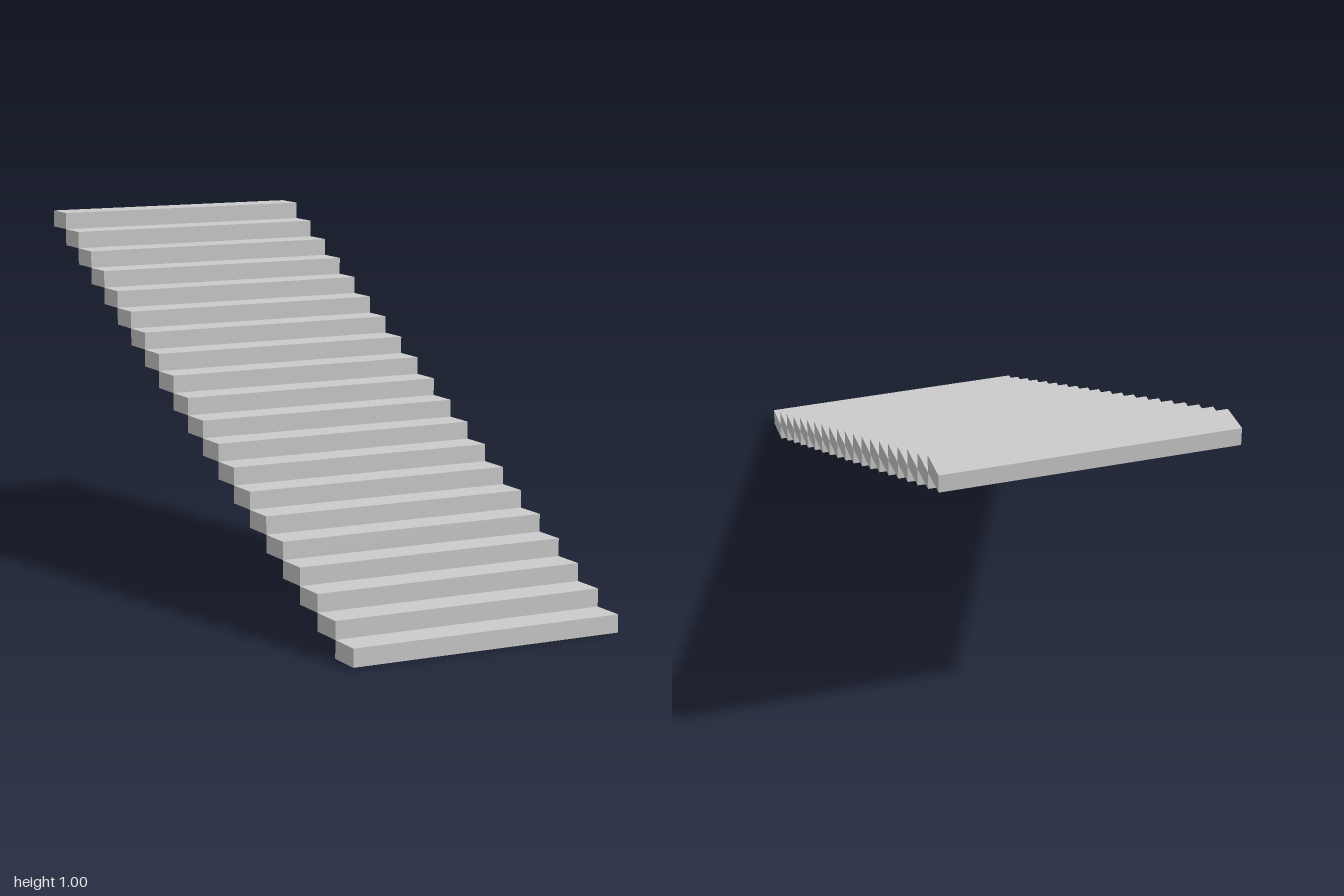
import * as THREE from 'three';

const STEPS = 20, WIDTH = 0.8, RISE = 0.05, RUN = 0.1;

export function createModel() {
  const staircase = new THREE.Group();
  staircase.name = 'staircase';
  const material = new THREE.MeshStandardMaterial({ color: 0xcccccc, flatShading: true });
  const slab = new THREE.BoxGeometry(WIDTH, RISE, RUN);

  // Solid steps climbing from the front to the back, touching edge to edge
  for (let i = 0; i < STEPS; i++) {
    const step = new THREE.Mesh(slab, material);
    step.name = `step${i + 1}`;
    step.position.set(0, (i + 0.5) * RISE, 1 - (i + 0.5) * RUN);
    staircase.add(step);
  }
  return staircase;
}
